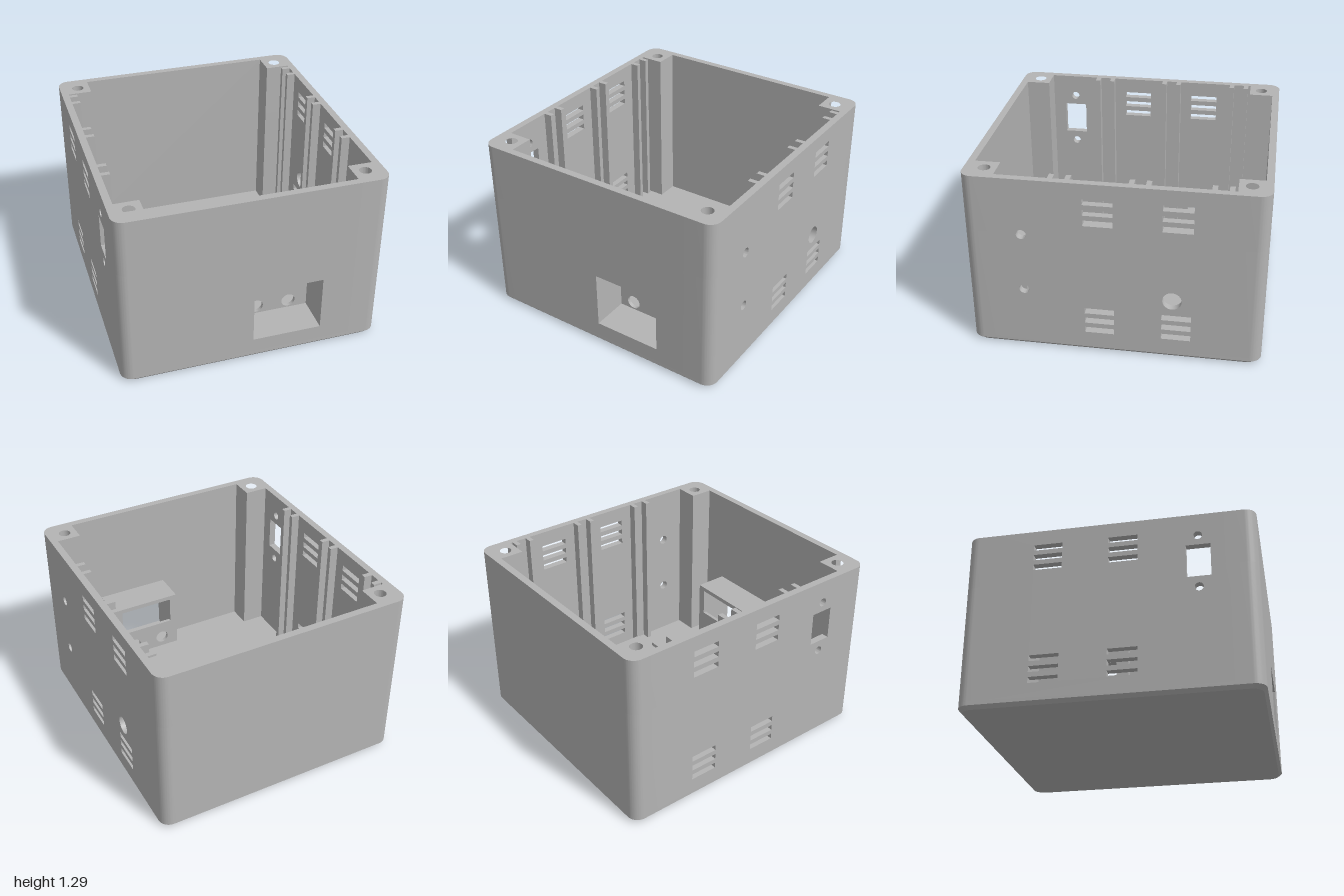
import * as THREE from 'three';
import { toCreasedNormals } from 'three/addons/utils/BufferGeometryUtils.js';

const W = 0.92, D = 1, H = 1.29, WALL = 0.05, FLOOR = 0.05, R = 0.08;
const POST_X = 0.70, POST_Z = 0.78;

function rect(x0, y0, x1, y1, Type = THREE.Shape) {
  const s = new Type();
  s.moveTo(x0, y0);
  s.lineTo(x1, y0);
  s.lineTo(x1, y1);
  s.lineTo(x0, y1);
  s.closePath();
  return s;
}
const slot = (x0, y0, x1, y1) => rect(x0, y0, x1, y1, THREE.Path);
const hole = (x, y, r) => new THREE.Path().absarc(x, y, r, 0, Math.PI * 2, true);

function extrude(shape, depth, holes = [], steps = 1) {
  shape.holes.push(...holes);
  return new THREE.ExtrudeGeometry(shape, { depth, steps, bevelEnabled: false, curveSegments: 20 });
}

export function createModel() {
  const model = new THREE.Group();
  model.name = 'enclosure';
  const grey = new THREE.MeshStandardMaterial({ color: 0xb4b4b4 });
  grey.name = 'grey plastic';

  const add = (name, geometry) => {
    const mesh = new THREE.Mesh(toCreasedNormals(geometry, 0.5), grey);
    mesh.name = name;
    model.add(mesh);
  };

  // Floor plate: rounded plan, lower ring pulled in for the chamfer
  const k = R * 0.4477;
  const plan = new THREE.Shape();
  plan.moveTo(W, -D + R);
  plan.lineTo(W, D - R);
  plan.bezierCurveTo(W, D - k, W - k, D, W - R, D);
  plan.lineTo(-W + R, D);
  plan.bezierCurveTo(-W + k, D, -W, D - k, -W, D - R);
  plan.lineTo(-W, -D + R);
  plan.bezierCurveTo(-W, -D + k, -W + k, -D, -W + R, -D);
  plan.lineTo(W - R, -D);
  plan.bezierCurveTo(W - k, -D, W, -D + k, W, -D + R);
  const floor = extrude(plan, FLOOR, [], 2).rotateX(Math.PI / 2).translate(0, FLOOR, 0);
  const p = floor.attributes.position;
  for (let i = 0; i < p.count; i++) {
    if (p.getY(i) < 0.001) {
      p.setX(i, p.getX(i) * (W - 0.022) / W);
      p.setZ(i, p.getZ(i) * (D - 0.022) / D);
    }
  }
  add('floor', floor);

  // Corner posts with blind screw holes
  const post = (sx, sz) => {
    const s = new THREE.Shape();
    s.moveTo(sx * POST_X, sz * POST_Z);
    s.lineTo(sx * W, sz * POST_Z);
    s.lineTo(sx * W, sz * (D - R));
    s.bezierCurveTo(sx * W, sz * (D - k), sx * (W - k), sz * D, sx * (W - R), sz * D);
    s.lineTo(sx * POST_X, sz * D);
    s.closePath();
    return s;
  };
  const holeFloor = 0.89;
  for (const sx of [-1, 1]) for (const sz of [-1, 1]) {
    add('cornerPostBase', extrude(post(sx, sz), holeFloor - FLOOR)
      .rotateX(Math.PI / 2).translate(0, holeFloor, 0));
    add('cornerPostTop', extrude(post(sx, sz), H - holeFloor, [hole(sx * 0.787, sz * 0.865, 0.042)])
      .rotateX(Math.PI / 2).translate(0, H, 0));
  }

  // Side walls: vent slots on both, different connector cutouts on each
  const vents = () => {
    const list = [];
    for (const z of [0, -0.52])
      for (const y of [0.148, 0.225, 0.302, 0.985, 1.062, 1.139])
        list.push(slot(z, y, z + 0.2, y + 0.042));
    return list;
  };
  const sideWall = (name, x, cutouts) =>
    add(name, extrude(rect(-POST_Z, FLOOR, POST_Z, H), WALL, [...vents(), ...cutouts])
      .rotateY(-Math.PI / 2).translate(x, 0, 0));
  sideWall('leftWall', W, [
    hole(0.61, 0.885, 0.034), hole(0.61, 0.46, 0.034), hole(-0.39, 0.46, 0.065),
  ]);
  sideWall('rightWall', -W + WALL, [
    slot(0.525, 0.815, 0.69, 1.055), hole(0.607, 1.127, 0.03), hole(0.607, 0.737, 0.03),
  ]);

  // Vertical card-guide ribs inside the side walls
  for (const s of [-1, 1])
    for (const z of [-0.745, -0.637, -0.222, -0.112, 0.3, 0.412])
      add('guideRib', new THREE.BoxGeometry(0.06, H - FLOOR, 0.034)
        .translate(s * (W - WALL - 0.03), (H + FLOOR) / 2, z));

  // Front and back walls
  add('backWall', extrude(rect(-POST_X, FLOOR, POST_X, H), WALL).translate(0, 0, -D));
  const opening = () => slot(0, 0.155, 0.488, 0.56);
  add('frontWall', extrude(rect(-POST_X, FLOOR, POST_X, H), WALL, [opening()])
    .translate(0, 0, D - WALL));

  // Recessed control bay behind the front opening
  const bay = () => rect(-0.025, 0.13, 0.513, 0.585);
  const bayBack = 0.71, bayPanel = 0.025;
  add('baySleeve', extrude(bay(), D - WALL - bayBack - bayPanel, [opening()])
    .translate(0, 0, bayBack + bayPanel));
  add('bayPanel', extrude(bay(), bayPanel, [
    slot(0.03, 0.35, 0.456, 0.553), hole(0.11, 0.215, 0.05), hole(0.35, 0.215, 0.05),
  ]).translate(0, 0, bayBack));

  return model;
}
